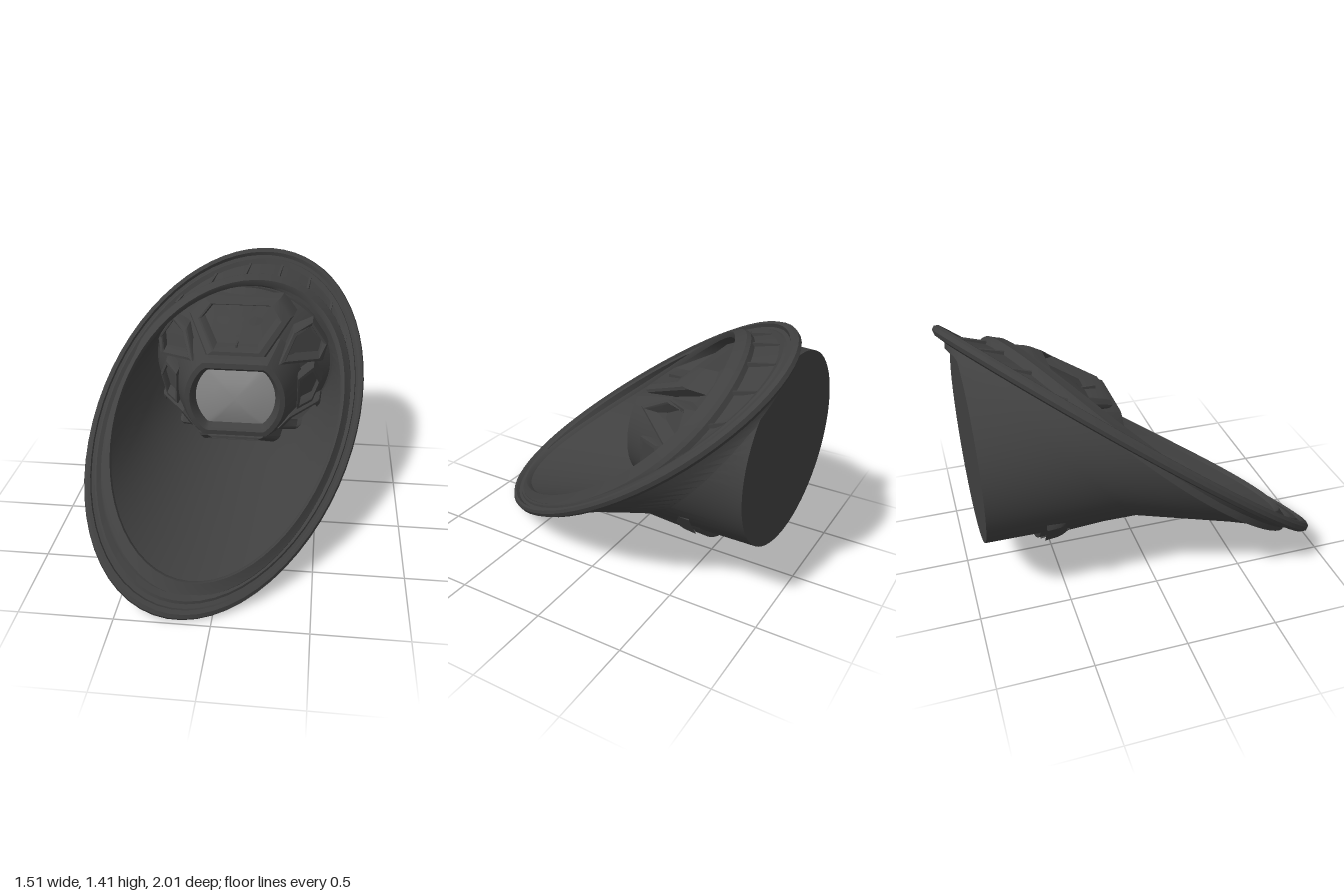
import * as THREE from 'three';
import { toCreasedNormals } from 'three/addons/utils/BufferGeometryUtils.js';

const V = (x, y, z) => new THREE.Vector3(x, y, z);
const N = 64;
const DARK = 0x404040, LIGHT = 0x8c8c8c, MID = 0x6a6a6a;
const AXIS = V(0.3, 0.77, 0.57); // direction the slanted rim faces

// Skin a list of cross-section loops, ordered from back/outside to front/inside
function loft(rows, closed = true) {
  const pos = [];
  const tri = (a, b, c) => {
    const area = b.clone().sub(a).cross(c.clone().sub(a)).length();
    if (area > 1e-9) for (const p of [a, b, c]) pos.push(p.x, p.y, p.z);
  };
  const n = rows[0].length;
  for (let i = 0; i < rows.length - 1; i++) {
    for (let j = 0; j < (closed ? n : n - 1); j++) {
      const k = (j + 1) % n;
      tri(rows[i][j], rows[i][k], rows[i + 1][j]);
      tri(rows[i][k], rows[i + 1][k], rows[i + 1][j]);
    }
  }
  const geo = new THREE.BufferGeometry();
  geo.setAttribute('position', new THREE.Float32BufferAttribute(pos, 3));
  return toCreasedNormals(geo, 0.5);
}

const loop = (fn, n = N) => Array.from({ length: n }, (_, i) => fn((i / n) * Math.PI * 2));

// Points on the two slanted, slightly bent ovals: s scales, d lifts along AXIS
function rimPoint(t, s = 1, d = 0) {
  const c = Math.cos(t) * s, q = Math.sin(t) * s;
  return V(0.752 * c, 0.708 + 0.695 * q + 0.04 * c, 0.01 - 0.39 * c - 0.92 * q - 0.05 * c * c)
    .addScaledVector(AXIS, d);
}
function lipPoint(t, s = 1, d = 0) {
  const c = Math.cos(t) * s, q = Math.sin(t) * s;
  return V(0.66 * c - 0.01, 0.705 + 0.6 * q + 0.03 * c, 0.11 - 0.28 * c - 0.72 * q - 0.15 * c * c)
    .addScaledVector(AXIS, d);
}
// Upright ovals of the rear can and of the inner bowl
const canPoint = (t, z, s = 1) => V(0.01 + 0.585 * s * Math.cos(t), 0.785 + 0.505 * s * Math.sin(t), z);
const bowlPoint = (t, z, s = 1) => V(0.005 + 0.555 * s * Math.cos(t), 0.78 + 0.483 * s * Math.sin(t), z);

// Height of the rounded reflector dome around the projector
function domeZ(x, y) {
  const q = Math.hypot(x / 0.5, (y - 0.73) / 0.5);
  return -0.11 - 0.44 * THREE.MathUtils.clamp((q - 0.46) / 0.62, 0, 1) ** 1.4;
}

export function createModel() {
  const group = new THREE.Group();
  const mats = {};
  function add(name, geo, color = DARK) {
    mats[color] ??= new THREE.MeshStandardMaterial({ color, side: THREE.DoubleSide });
    const mesh = new THREE.Mesh(geo, mats[color]);
    mesh.name = name;
    group.add(mesh);
    return mesh;
  }

  // Rear can flowing into the underside of the rim, hollowed a little below
  const canFront = t => canPoint(t, THREE.MathUtils.lerp(-0.92, rimPoint(t).z, 0.45), 1.01);
  const rimBack = t => rimPoint(t, 0.93, -0.045);
  const underside = t => {
    const p = canFront(t).lerp(rimBack(t), 0.6);
    p.y += 0.035 * Math.max(0, -Math.sin(t)) ** 3;
    return p;
  };
  add('housing', loft([
    loop(() => V(0.01, 0.785, -0.92)),
    loop(t => canPoint(t, -0.92)),
    loop(canFront),
    loop(underside),
    loop(rimBack),
  ]));

  // Stepped outer rim
  const rimProfile = [[0.93, -0.045], [0.98, -0.035], [1, -0.015], [1, 0.008], [0.985, 0.022],
    [0.965, 0.022], [0.955, 0.004], [0.935, 0.004], [0.925, 0.014], [0.895, 0.006]];
  const rimRows = rimProfile.map(([s, d]) => loop(t => rimPoint(t, s, d)));
  add('outerRim', loft(rimRows));

  // Raised inner lip
  const lipProfile = [[1.05, -0.05], [1.05, -0.02], [1.035, 0], [1.01, 0.008], [0.97, 0.025], [0.96, 0.015], [0.95, -0.005]];
  const lipRows = lipProfile.map(([s, d]) => loop(t => lipPoint(t, s, d)));
  add('innerLip', loft([rimRows.at(-1), ...lipRows]));

  // Low ribs bridging rim and lip under the brow
  for (let deg = 20; deg <= 125; deg += 17) {
    const t = THREE.MathUtils.degToRad(deg);
    const a = rimPoint(t, 0.9, 0), b = lipPoint(t, 1.05, -0.04);
    const rib = add('browRib', new THREE.BoxGeometry(0.014, 0.02, a.distanceTo(b)));
    rib.position.copy(a).lerp(b, 0.5);
    rib.lookAt(b);
  }

  // Bowl behind the opening
  add('bowl', loft([
    lipRows.at(-1),
    loop(t => bowlPoint(t, THREE.MathUtils.lerp(-0.62, lipPoint(t).z, 0.4))),
    loop(t => bowlPoint(t, -0.62)),
    loop(() => V(0.005, 0.78, -0.62)),
  ]));

  // Reflector dome
  const domeRow = s => loop(t => {
    const x = 0.5 * s * Math.cos(t), y = 0.73 + 0.47 * s * Math.sin(t);
    return V(x, y, domeZ(x, y) - 0.1);
  });
  add('reflectorBase', loft([loop(t => bowlPoint(t, -0.615, 0.98)), ...[1, 0.85, 0.7, 0.5].map(domeRow)]));

  // Framed reflector pockets around the projector
  function pocket(name, pts, floorColor = DARK) {
    const n = pts.length;
    const cx = pts.reduce((a, p) => a + p[0], 0) / n, cy = pts.reduce((a, p) => a + p[1], 0) / n;
    const row = (s, h) => pts.map(([px, py]) => {
      const x = cx + (px - cx) * s, y = cy + (py - cy) * s;
      return V(x, y, Math.max(domeZ(x, y) + h, -0.61));
    });
    add(name + 'Frame', loft([row(1.08, -0.11), row(1.02, 0.01), row(0.96, 0.03), row(0.8, 0.03), row(0.76, 0.015), row(0.7, -0.075)]));
    add(name + 'Floor', loft([row(0.7, -0.075), row(0, -0.09)]), floorColor);
  }
  pocket('topReflector', [[0.17, 0.99], [0.31, 1.13], [0.23, 1.22], [-0.23, 1.22], [-0.31, 1.13], [-0.17, 0.99]]);
  pocket('bottomReflector', [[-0.17, 0.48], [-0.28, 0.31], [0.28, 0.31], [0.17, 0.48]]);
  const sidePockets = [
    ['upperReflector', [[0.25, 0.94], [0.5, 0.85], [0.525, 0.94], [0.43, 1.08], [0.32, 1.06]], DARK],
    ['sideReflector', [[0.36, 0.63], [0.45, 0.62], [0.5, 0.73], [0.45, 0.85], [0.36, 0.83]], DARK],
    ['lowerReflector', [[0.25, 0.53], [0.35, 0.41], [0.43, 0.4], [0.51, 0.52], [0.49, 0.59], [0.32, 0.6]], MID],
  ];
  for (const [name, pts, color] of sidePockets) {
    pocket(name + 'Left', pts, color);
    pocket(name + 'Right', pts.map(([x, y]) => [-x, y]).reverse(), color);
  }
  add('topFin', new THREE.BoxGeometry(0.01, 0.04, 0.14)).position.set(0, 1.02, -0.27);

  // Projector bezel and lens: circles cut flat above and below
  const cut = (r, h, z) => loop(t =>
    V(r * Math.cos(t), 0.73 + THREE.MathUtils.clamp(r * Math.sin(t), -h, h), z));
  add('projectorBezel', loft([cut(0.39, 0.3, -0.36), cut(0.34, 0.265, -0.22), cut(0.305, 0.24, -0.13), cut(0.295, 0.23, -0.11),
    cut(0.265, 0.2, -0.105), cut(0.25, 0.185, -0.12), cut(0.235, 0.17, -0.16)]));
  add('projectorLens', loft([cut(0.235, 0.17, -0.16), cut(0.13, 0.1, -0.135), cut(0, 0, -0.125)]), LIGHT);

  // Wedge-shaped collar under the can
  const arc = (z, drop) => Array.from({ length: 25 }, (_, i) => {
    const u = i / 24;
    const p = canPoint(Math.PI * (1.22 + 0.56 * u), z, 0.99);
    p.y -= drop * Math.sqrt(Math.sin(Math.PI * u));
    return p;
  });
  add('rearCollar', loft([arc(-0.64, 0), arc(-0.63, 0.065), arc(-0.45, 0.045), arc(-0.24, 0.02), arc(-0.22, 0)], false));

  return group;
}
